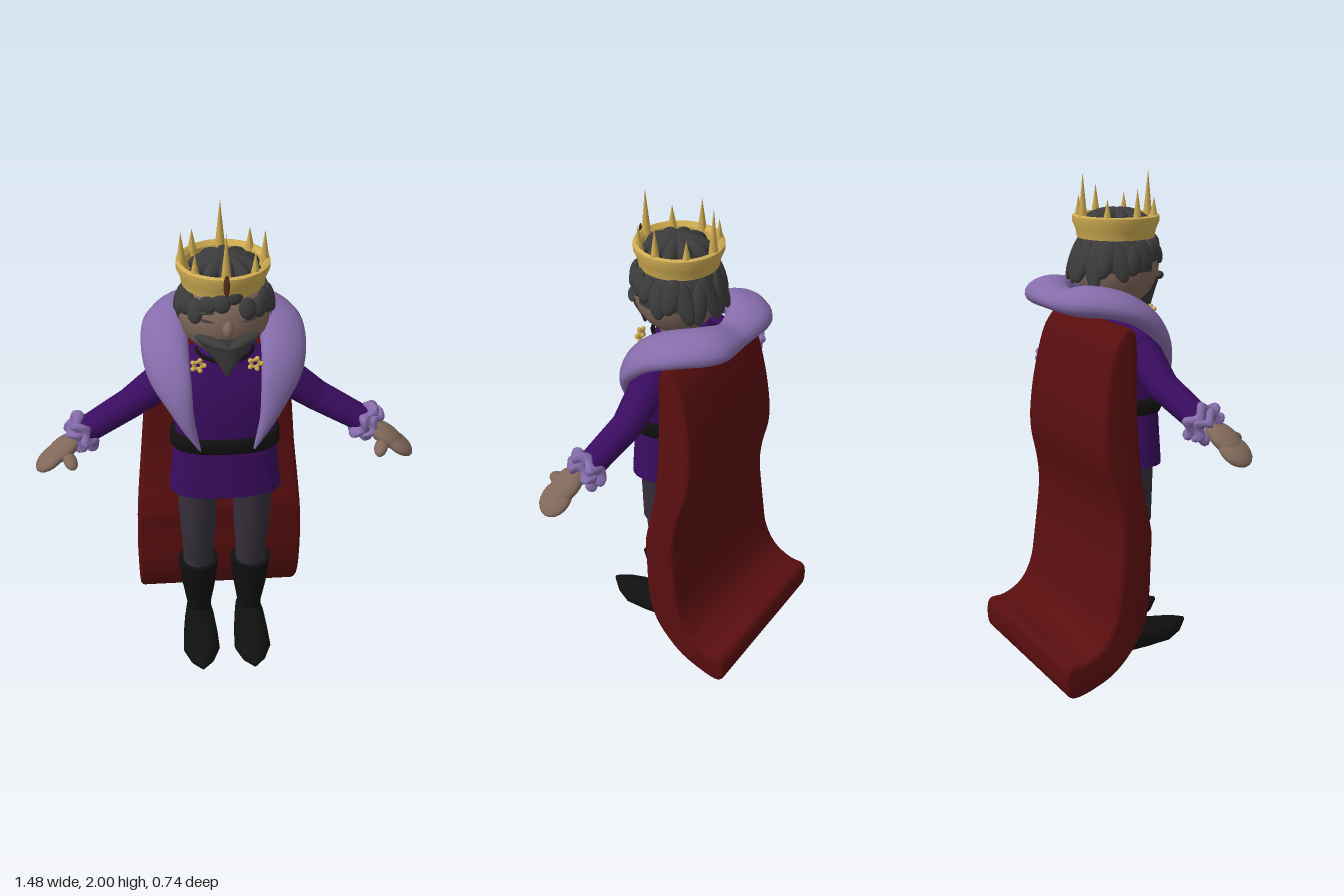
import * as THREE from 'three';
import { toCreasedNormals } from 'three/addons/utils/BufferGeometryUtils.js';

const V = (x, y, z) => new THREE.Vector3(x, y, z);

// Closed skin over a list of rings, each an array of points
function skin(rings, crease = 0.9) {
  const n = rings[0].length, pos = [], idx = [];
  rings.forEach(r => r.forEach(p => pos.push(p.x, p.y, p.z)));
  for (let i = 0; i < rings.length - 1; i++)
    for (let j = 0; j < n; j++) {
      const k = (j + 1) % n, a = i * n + j, b = i * n + k, c = a + n, d = b + n;
      idx.push(a, c, b, b, c, d);
    }
  [0, rings.length - 1].forEach((r, end) => {
    const c = rings[r].reduce((s, p) => s.add(p), V(0, 0, 0)).divideScalar(n);
    const ci = pos.length / 3;
    pos.push(c.x, c.y, c.z);
    for (let j = 0; j < n; j++) {
      const a = r * n + j, b = r * n + (j + 1) % n;
      if (end) idx.push(ci, b, a); else idx.push(ci, a, b);
    }
  });
  const g = new THREE.BufferGeometry();
  g.setAttribute('position', new THREE.Float32BufferAttribute(pos, 3));
  g.setIndex(idx);
  return toCreasedNormals(g, crease);
}

// Stack of ellipses [y, rx, rz, z, x], listed upward; pow below 1 makes them boxier
function loft(list, n = 24, pow = 1) {
  const f = v => Math.sign(v) * Math.abs(v) ** pow;
  return skin(list.map(([y, rx, rz, z = 0, x = 0]) => Array.from({ length: n }, (_, j) => {
    const a = j / n * Math.PI * 2;
    return V(x + rx * f(Math.cos(a)), y, z + rz * f(Math.sin(a)));
  })));
}

export function createModel() {
  const root = new THREE.Group();
  root.name = 'king';
  const M = {};
  Object.entries({
    robePurple: 0x3a0c60, furLilac: 0x866dab, capeRed: 0x590e0f, skinBrown: 0x80685a, hairGrey: 0x3b3b3b,
    crownGold: 0xd0ad52, trouserGrey: 0x342e39, leatherBlack: 0x101010, jewelBrown: 0x5a3018,
  }).forEach(([name, color]) => {
    M[name] = new THREE.MeshStandardMaterial({ color });
    M[name].name = name;
  });
  const add = (name, geo, mat, parent = root) => {
    const m = new THREE.Mesh(geo, mat);
    m.name = name;
    parent.add(m);
    return m;
  };
  const ball = (name, mat, p, s, r = [0, 0, 0], parent = root) => {
    const m = add(name, new THREE.SphereGeometry(1, 20, 14), mat, parent);
    m.position.set(...p);
    m.scale.set(...s);
    m.rotation.set(...r);
    return m;
  };
  const limb = (name, mat, p, q, r1, r2, parent = root) => {
    const a = V(...p), b = V(...q), d = b.clone().sub(a);
    const m = add(name, new THREE.CylinderGeometry(r2, r1, d.length(), 18), mat, parent);
    m.position.copy(a).add(b).multiplyScalar(0.5);
    m.quaternion.setFromUnitVectors(V(0, 1, 0), d.normalize());
    return m;
  };

  // Tunic, belt and neck
  add('tunicSkirt', loft([[0.865, 0.225, 0.115, 0.1], [1.0, 0.21, 0.11, 0.1], [1.12, 0.2, 0.105, 0.1]], 28, 0.75), M.robePurple);
  add('tunicTop', loft([[1.1, 0.195, 0.1, 0.1], [1.2, 0.2, 0.11, 0.095], [1.3, 0.215, 0.115, 0.09],
    [1.38, 0.22, 0.11, 0.075], [1.44, 0.17, 0.1, 0.065], [1.48, 0.1, 0.09, 0.065]], 28, 0.85), M.robePurple);
  add('belt', loft([[1.08, 0.21, 0.115, 0.1], [1.09, 0.216, 0.12, 0.1], [1.13, 0.214, 0.12, 0.1], [1.142, 0.205, 0.113, 0.1]], 28, 0.78), M.leatherBlack);
  add('neck', loft([[1.42, 0.08, 0.075, 0.07], [1.56, 0.08, 0.075, 0.07]]), M.skinBrown);
  const chain = add('collarChain', new THREE.TorusGeometry(0.105, 0.008, 6, 24, Math.PI), M.leatherBlack);
  chain.rotation.x = Math.PI / 2;
  chain.position.set(0, 1.475, 0.07);

  // Legs, boots, arms and hands, built on the left and mirrored
  for (const s of [1, -1]) {
    const leg = new THREE.Group();
    leg.name = s > 0 ? 'leftLeg' : 'rightLeg';
    leg.position.x = 0.112 * s;
    root.add(leg);
    add('thigh', loft([[0.61, 0.073, 0.073, 0.1], [0.9, 0.084, 0.082, 0.095]]), M.trouserGrey, leg);
    add('shin', loft([[0.4, 0.062, 0.055, 0.085], [0.612, 0.069, 0.066, 0.095]]), M.trouserGrey, leg);
    add('bootShaft', loft([[0.09, 0.056, 0.056, 0.055], [0.16, 0.053, 0.054, 0.058], [0.28, 0.07, 0.068, 0.07], [0.437, 0.087, 0.079, 0.08]]), M.leatherBlack, leg);
    // Stations along the foot: z, half width, bottom, top
    const foot = [[-0.015, 0.03, 0.03, 0.11], [0, 0.055, 0.005, 0.14], [0.08, 0.066, 0, 0.16], [0.16, 0.075, 0.002, 0.125],
      [0.25, 0.079, 0.006, 0.1], [0.32, 0.05, 0.022, 0.09], [0.372, 0.008, 0.055, 0.075]];
    add('bootFoot', skin(foot.map(([z, w, lo, hi]) => Array.from({ length: 20 }, (_, j) => {
      const a = j / 20 * Math.PI * 2;
      return V(w * Math.cos(a), (lo + hi) / 2 - (hi - lo) / 2 * Math.sin(a), z);
    }))), M.leatherBlack, leg);

    const arm = new THREE.Group();
    arm.name = s > 0 ? 'leftArm' : 'rightArm';
    root.add(arm);
    const elbow = [0.36 * s, 1.238, 0.06], wrist = [0.555 * s, 1.138, 0.105];
    ball('shoulder', M.robePurple, [0.205 * s, 1.36, 0.055], [0.075, 0.08, 0.075], [0, 0, 0], arm);
    limb('upperSleeve', M.robePurple, [0.2 * s, 1.36, 0.055], elbow, 0.075, 0.06, arm);
    ball('elbow', M.robePurple, elbow, [0.06, 0.06, 0.06], [0, 0, 0], arm);
    limb('lowerSleeve', M.robePurple, elbow, wrist, 0.06, 0.052, arm);
    // Ruffled fur cuff
    const dir = V(...wrist).sub(V(...elbow)).normalize();
    [[-0.012, 0.058, 0.022], [0.022, 0.05, 0.02]].forEach(([off, r, t], k) => {
      const g = new THREE.TorusGeometry(r, t, 10, 36), p = g.attributes.position;
      for (let i = 0; i < p.count; i++) {
        const a = Math.atan2(p.getY(i), p.getX(i)), w = 1 + 0.13 * Math.sin(6 * a + k * 2);
        p.setXYZ(i, p.getX(i) * w, p.getY(i) * w, p.getZ(i) + 0.013 * Math.sin(5 * a + k));
      }
      g.computeVertexNormals();
      const cuff = add('furCuff', g, M.furLilac, arm);
      cuff.position.set(...wrist).addScaledVector(dir, off);
      cuff.quaternion.setFromUnitVectors(V(0, 0, 1), dir);
    });
    ball('palm', M.skinBrown, [0.63 * s, 1.095, 0.145], [0.085, 0.034, 0.06], [0, -0.25 * s, -0.56 * s], arm);
    ball('fingers', M.skinBrown, [0.678 * s, 1.06, 0.155], [0.074, 0.028, 0.064], [0, -0.1 * s, -0.62 * s], arm);
    ball('thumb', M.skinBrown, [0.6 * s, 1.08, 0.21], [0.026, 0.022, 0.045], [0.3, -0.35 * s, 0], arm);

    // Gold clasp on the collar edge
    const clasp = new THREE.Group();
    clasp.name = s > 0 ? 'leftClasp' : 'rightClasp';
    clasp.position.set(0.105 * s, 1.465, 0.178);
    root.add(clasp);
    add('claspRing', new THREE.TorusGeometry(0.015, 0.007, 6, 12), M.crownGold, clasp);
    for (let i = 0; i < 5; i++) {
      const a = i / 5 * Math.PI * 2;
      ball('claspBead', M.crownGold, [0.023 * Math.cos(a), 0.023 * Math.sin(a), 0.003], [0.009, 0.009, 0.009], [0, 0, 0], clasp);
    }
  }

  // Fur collar: inner edge, outer edge and half thickness, from the front point to the nape
  const half = [
    [[0.1, 1.11, 0.222], [0.108, 1.11, 0.222], 0.006], [[0.125, 1.25, 0.225], [0.2, 1.25, 0.185], 0.028],
    [[0.13, 1.39, 0.19], [0.29, 1.38, 0.11], 0.036], [[0.135, 1.48, 0.11], [0.312, 1.47, 0.02], 0.045],
    [[0.13, 1.54, 0.01], [0.29, 1.52, -0.1], 0.05], [[0.1, 1.56, -0.07], [0.17, 1.53, -0.235], 0.054],
  ];
  const stations = [...half, [[0, 1.54, -0.1], [0, 1.52, -0.235], 0.04],
    ...half.slice().reverse().map(([a, b, t]) => [[-a[0], a[1], a[2]], [-b[0], b[1], b[2]], t])];
  const curve = pts => new THREE.CatmullRomCurve3(pts);
  const inner = curve(stations.map(q => V(...q[0]))), outer = curve(stations.map(q => V(...q[1])));
  const thick = curve(stations.map((q, i) => V(i, q[2], 0)));
  const mid = t => inner.getPoint(t).add(outer.getPoint(t)).multiplyScalar(0.5);
  const collarRings = Array.from({ length: 61 }, (_, i) => {
    const t = i / 60, c = mid(t), u = outer.getPoint(t).sub(inner.getPoint(t)).multiplyScalar(0.5);
    const T = mid(Math.min(1, t + 0.01)).sub(mid(Math.max(0, t - 0.01)));
    const N = u.clone().cross(T).normalize().multiplyScalar(thick.getPoint(t).y);
    return Array.from({ length: 18 }, (_, j) => {
      const a = j / 18 * Math.PI * 2;
      return c.clone().addScaledVector(u, Math.cos(a)).addScaledVector(N, Math.sin(a));
    });
  });
  add('furCollar', skin(collarRings, 1.2), M.furLilac);

  // Cape: thick side profile (z, y) extruded across the back, widening downward
  const profile = [[-0.055, 1.45], [-0.11, 1.37], [-0.148, 1.21], [-0.164, 1.05], [-0.157, 0.93], [-0.122, 0.786], [-0.11, 0.654],
    [-0.13, 0.44], [-0.153, 0.31], [-0.206, 0.22], [-0.286, 0.178], [-0.35, 0.175], [-0.37, 0.14], [-0.366, 0.06], [-0.33, 0.03],
    [-0.25, 0.042], [-0.153, 0.08], [-0.074, 0.15], [-0.02, 0.23], [0.01, 0.336], [0.022, 0.55], [0.028, 0.65], [0.005, 0.786],
    [-0.01, 0.92], [-0.012, 1.13], [-0.005, 1.39], [-0.025, 1.45]].map(p => new THREE.Vector2(...p));
  const outline = new THREE.SplineCurve([...profile, profile[0]]).getPoints(100).slice(0, -1);
  const capeGeo = new THREE.ExtrudeGeometry(new THREE.Shape(outline),
    { depth: 1.9, steps: 1, bevelEnabled: true, bevelSize: 0.02, bevelOffset: -0.02, bevelThickness: 0.05, bevelSegments: 4 });
  capeGeo.translate(0, 0, -0.95);
  capeGeo.rotateY(-Math.PI / 2);
  const cp = capeGeo.attributes.position;
  for (let i = 0; i < cp.count; i++) {
    const y = cp.getY(i), w = 0.355 - 0.085 * THREE.MathUtils.smoothstep(y, 0.4, 1.5);
    // the extrusion runs along -x after turning; profile z is carried on x
    cp.setX(i, cp.getX(i) * w - 0.016);
  }
  const cape = add('cape', toCreasedNormals(capeGeo, 0.7), M.capeRed);
  cape.geometry.computeBoundingBox();

  // Head and face
  const head = new THREE.Group();
  head.name = 'head';
  root.add(head);
  ball('skull', M.skinBrown, [-0.003, 1.65, 0.08], [0.171, 0.17, 0.165], [0, 0, 0], head);
  ball('nose', M.skinBrown, [0, 1.645, 0.24], [0.02, 0.032, 0.026], [-0.25, 0, 0], head);
  add('beard', loft([[1.45, 0.004, 0.005, 0.238], [1.5, 0.038, 0.028, 0.218], [1.545, 0.08, 0.05, 0.196],
    [1.58, 0.108, 0.068, 0.182], [1.605, 0.118, 0.07, 0.172]]), M.hairGrey, head);
  for (const s of [1, -1]) {
    ball('moustache', M.hairGrey, [0.055 * s, 1.597, 0.245], [0.074, 0.017, 0.022], [0, 0.6 * s, 0.12 * s], head);
    ball('eyebrow', M.hairGrey, [0.085 * s, 1.703, 0.218], [0.042, 0.006, 0.01], [0, 0.45 * s, -0.12 * s], head);
    ball('closedEye', M.hairGrey, [0.078 * s, 1.674, 0.225], [0.032, 0.0035, 0.008], [0, 0.45 * s, 0.08 * s], head);
  }

  // Hair: back cap, hanging locks around the head and petals on top
  const cap = add('hairCap', new THREE.SphereGeometry(1, 28, 16, Math.PI - 0.35, Math.PI + 0.7, 0, 1.65), M.hairGrey, head);
  cap.scale.set(-0.176, 0.174, -0.168);
  cap.scale.set(0.176, 0.174, 0.168);
  cap.rotation.y = 0;
  cap.position.set(-0.003, 1.65, 0.078);
  cap.material = M.hairGrey;
  for (let i = 0; i < 20; i++) {
    const a = (i + 0.5) / 20 * Math.PI * 2, back = (1 - Math.cos(a)) / 2;
    const len = 0.03 + 0.055 * back + 0.008 * (i % 2), y = 1.765 - len - 0.01 * (i % 3) + (Math.cos(a) > 0.9 ? 0.025 : 0);
    const r = 0.165 * Math.sqrt(1 - ((y - 1.65) / 0.18) ** 2) + 0.002;
    const lock = ball('hairLock', M.hairGrey, [r * Math.sin(a), y, 0.08 + r * Math.cos(a)], [0.034, len, 0.02], [0, 0, 0], head);
    lock.rotation.set(-0.28, a, 0.2 * (i % 2 ? 1 : -1), 'YXZ');
  }
  for (let i = 0; i < 10; i++) {
    const a = i / 10 * Math.PI * 2;
    const petal = ball('topLock', M.hairGrey, [0.065 * Math.sin(a), 1.825, 0.08 + 0.065 * Math.cos(a)], [0.03, 0.034, 0.072], [0, 0, 0], head);
    petal.rotation.set(0.3, a, 0, 'YXZ');
  }

  // Crown with eight spikes and a front jewel
  const crown = new THREE.Group();
  crown.name = 'crown';
  crown.position.set(-0.006, 0, 0.075);
  root.add(crown);
  const band = [[0.15, 1.755], [0.155, 1.785], [0.168, 1.815], [0.168, 1.837], [0.155, 1.842], [0.142, 1.825], [0.14, 1.76], [0.15, 1.755]];
  add('crownBand', toCreasedNormals(new THREE.LatheGeometry(band.map(p => new THREE.Vector2(...p)), 40), 0.5), M.crownGold, crown);
  for (let i = 0; i < 8; i++) {
    const a = i / 8 * Math.PI * 2, top = [2.0, 1.91, 1.945, 1.91][i % 4], h = top - 1.81;
    const spike = add('crownSpike', new THREE.ConeGeometry(0.02, h, 8), M.crownGold, crown);
    spike.position.set(0.148 * Math.sin(a), 1.81 + h / 2, 0.148 * Math.cos(a));
  }
  ball('crownJewel', M.jewelBrown, [0, 1.817, 0.174], [0.011, 0.042, 0.004], [0, 0, 0], crown);
  return root;
}
